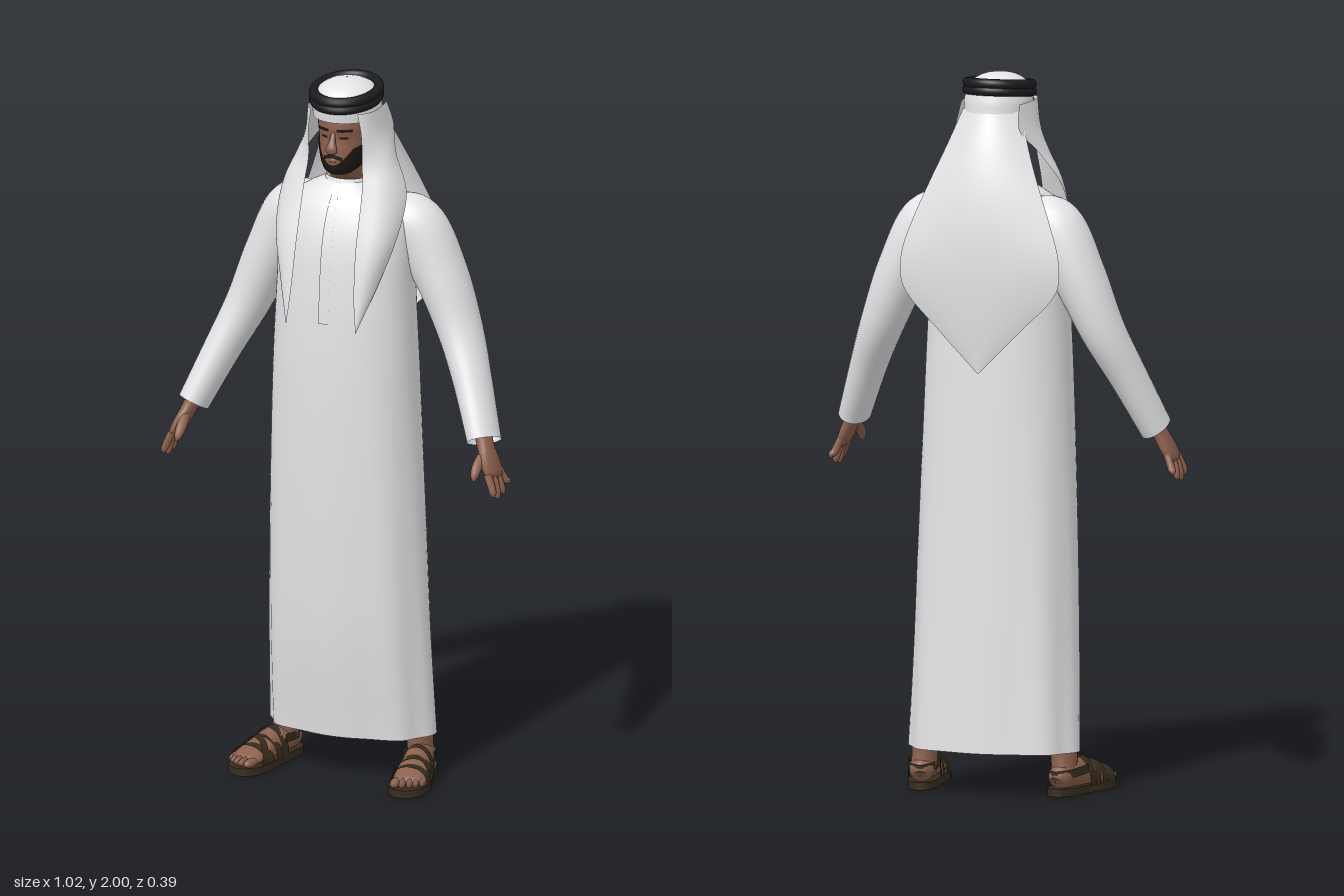
import * as THREE from 'three';

const mat = (name, color, side = THREE.FrontSide) => {
  const m = new THREE.MeshStandardMaterial({ color, side });
  m.name = name;
  return m;
};

// Smooth interpolation of a table; the first column is the parameter
const spline = rows => {
  const ip = new THREE.CubicInterpolant(rows.map(r => r[0]), rows.flatMap(r => r.slice(1)), rows[0].length - 1);
  return t => Array.from(ip.evaluate(t));
};
const indexed = rows => spline(rows.map((r, i) => [i, ...r]));

// Grid surface from f(u, v) -> [x, y, z]; wrap joins the ends of u
function grid(f, nu, nv, wrap = false) {
  const pos = [], idx = [], cols = wrap ? nu : nu + 1;
  for (let j = 0; j <= nv; j++)
    for (let i = 0; i < cols; i++) pos.push(...f(i / nu, j / nv));
  for (let j = 0; j < nv; j++)
    for (let i = 0; i < nu; i++) {
      const k = (i + 1) % cols, a = j * cols + i, b = j * cols + k;
      idx.push(a, b, a + cols, b, b + cols, a + cols);
    }
  const g = new THREE.BufferGeometry();
  g.setAttribute('position', new THREE.Float32BufferAttribute(pos, 3));
  g.setIndex(idx);
  g.computeVertexNormals();
  return g;
}

// Upright surface from rows [y, half width, front z, back z]
function upright(rows, power = 1, wave = () => 1) {
  const at = spline(rows);
  return (y, t, lift = 0) => {
    const [rx, zf, zb] = at(y), s = Math.sin(t), c = Math.cos(t), w = wave(y, t);
    const p = v => Math.sign(v) * Math.abs(v) ** power;
    return [(rx + lift) * p(s) * w, y, (zf + zb) / 2 + ((zf - zb) / 2 + lift) * p(c) * w];
  };
}
const shell = (f, y0, y1, nu = 48, nv = 40) =>
  grid((u, v) => f(y0 + (y1 - y0) * v, u * Math.PI * 2), nu, nv, true);

// Thin patch lying on an upright surface
const patch = (f, t0, t1, lo, hi, lift, nu = 16, nv = 4) => grid((u, v) => {
  const t = t0 + (t1 - t0) * u;
  return f(lo(t) + (hi(t) - lo(t)) * v, t, lift);
}, nu, nv);

// Swept limb from rows [x, y, z, side radius, radius along ref]
function sweep(rows, ref, nu = 20, nv = 20) {
  const at = indexed(rows), n = rows.length - 1, V = a => new THREE.Vector3(...a.slice(0, 3));
  return grid((u, v) => {
    const r = at(v * n), c = V(r);
    const d = V(at(Math.min(n, v * n + 0.05))).sub(V(at(Math.max(0, v * n - 0.05)))).normalize();
    const b = ref.clone().addScaledVector(d, -ref.dot(d)).normalize();
    const a = d.clone().cross(b), t = u * Math.PI * 2;
    return c.addScaledVector(a, r[3] * Math.cos(t)).addScaledVector(b, -r[4] * Math.sin(t)).toArray();
  }, nu, nv, true);
}

export function createModel() {
  const model = new THREE.Group();
  const cloth = mat('white cloth', 0xe6e6e8, THREE.DoubleSide);
  const skin = mat('skin', 0x8b5f4d);
  const hair = mat('dark hair', 0x1d1714, THREE.DoubleSide);
  const cord = mat('black cord', 0x1b1b1e);
  const leather = mat('brown leather', 0x372c1d, THREE.DoubleSide);
  const X = new THREE.Vector3(1, 0, 0), Y = new THREE.Vector3(0, 1, 0), Z = new THREE.Vector3(0, 0, 1);
  const add = (parent, name, geo, m) => {
    const mesh = new THREE.Mesh(geo, m);
    mesh.name = name;
    parent.add(mesh);
    return mesh;
  };

  // Long robe with soft folds towards the hem
  const robe = upright([
    [0.12, 0.248, 0.102, -0.172], [0.4, 0.238, 0.138, -0.166], [0.7, 0.228, 0.156, -0.158],
    [1.0, 0.215, 0.165, -0.15], [1.25, 0.203, 0.165, -0.142], [1.42, 0.195, 0.157, -0.136],
    [1.55, 0.192, 0.14, -0.13], [1.62, 0.18, 0.118, -0.124], [1.67, 0.145, 0.092, -0.112],
    [1.695, 0.09, 0.07, -0.088], [1.71, 0.064, 0.056, -0.07],
  ], 0.87, (y, t) => 1 - 0.025 * Math.max(0, 1.2 - y) * (1 - Math.cos(8 * t)));
  add(model, 'robe', shell(robe, 0.12, 1.71, 64, 60), cloth);
  add(model, 'placket', patch(robe, -0.05, 0.05, () => 1.33, () => 1.69, 0.004, 4, 24), cloth);

  const collar = upright([[1.69, 0.074, 0.066, -0.08], [1.705, 0.068, 0.06, -0.074], [1.72, 0.064, 0.055, -0.07]]);
  add(model, 'collar', shell(collar, 1.69, 1.72, 32, 3), cloth);

  // Head and neck
  const head = new THREE.Group();
  head.name = 'head';
  model.add(head);
  const face = upright([
    [1.66, 0.056, 0.04, -0.065], [1.715, 0.054, 0.042, -0.065], [1.735, 0.05, 0.07, -0.066],
    [1.75, 0.05, 0.097, -0.068], [1.775, 0.06, 0.104, -0.07], [1.81, 0.068, 0.102, -0.074],
    [1.845, 0.073, 0.098, -0.078], [1.875, 0.075, 0.102, -0.08], [1.91, 0.073, 0.094, -0.078],
    [1.95, 0.05, 0.06, -0.05], [1.96, 0.002, 0.006, -0.004],
  ]);
  add(head, 'face', shell(face, 1.66, 1.96, 40, 50), skin);
  add(head, 'nose', sweep([
    [0, 1.865, 0.096, 0.006, 0.005], [0, 1.84, 0.106, 0.01, 0.008],
    [0, 1.82, 0.112, 0.017, 0.012], [0, 1.81, 0.108, 0.014, 0.009], [0, 1.806, 0.104, 0.001, 0.001],
  ], Z, 14, 12), skin);
  add(head, 'lips', sweep([
    [-0.02, 1.784, 0.096, 0.001, 0.001], [0, 1.786, 0.103, 0.007, 0.006], [0.02, 1.784, 0.096, 0.001, 0.001],
  ], Z, 10, 10), skin);
  add(head, 'beard', patch(face, -1.6, 1.6, t => 1.738 + 0.012 * t * t,
    t => 1.772 + 0.04 * Math.min(1, t * t / 0.6) + 0.012 * t * t, 0.003, 32, 8), hair);
  add(head, 'moustache', patch(face, -0.42, 0.42, t => 1.794 - 0.06 * t * t, t => 1.803 - 0.05 * t * t, 0.004, 12, 2), hair);
  for (const s of [-1, 1]) {
    add(head, 'eyebrow', patch(face, s * 0.15, s * 0.72, () => 1.868, () => 1.876, 0.003, 8, 2), hair);
    add(head, 'eye', patch(face, s * 0.25, s * 0.56, () => 1.847, () => 1.853, 0.002, 6, 2), hair);
  }

  // Head cloth: cap, two front flaps and the cape behind
  const cap = upright([
    [1.895, 0.094, 0.108, -0.105], [1.93, 0.094, 0.11, -0.1], [1.965, 0.083, 0.097, -0.085],
    [1.985, 0.06, 0.073, -0.06], [1.996, 0.03, 0.04, -0.025], [2.0, 0.001, 0.008, 0.006],
  ]);
  add(model, 'headClothCap', shell(cap, 1.895, 2.0, 40, 24), cloth);

  // Each row runs from the front edge through a control point to the rear edge
  const flapRows = indexed([
    [0.07, 1.925, 0.092, 0.118, 1.925, 0.07, 0.085, 1.92, -0.07],
    [0.08, 1.86, 0.088, 0.135, 1.855, 0.04, 0.095, 1.85, -0.095],
    [0.081, 1.78, 0.085, 0.165, 1.78, 0.06, 0.13, 1.785, -0.035],
    [0.088, 1.7, 0.102, 0.175, 1.7, 0.1, 0.182, 1.69, 0.01],
    [0.09, 1.55, 0.148, 0.165, 1.56, 0.155, 0.182, 1.58, 0.07],
    [0.095, 1.42, 0.172, 0.13, 1.43, 0.177, 0.148, 1.45, 0.125],
    [0.105, 1.32, 0.183, 0.105, 1.32, 0.183, 0.105, 1.32, 0.183],
  ]);
  // Cape rows: y, half width, centre z, edge z
  const capeRows = spline([
    [-1.9, 0.085, -0.102, -0.05], [-1.8, 0.12, -0.145, -0.09], [-1.7, 0.16, -0.175, -0.122],
    [-1.6, 0.2, -0.192, -0.143], [-1.5, 0.23, -0.198, -0.156], [-1.41, 0.222, -0.196, -0.158],
    [-1.3, 0.12, -0.187, -0.168], [-1.18, 0.001, -0.172, -0.172],
  ]);
  add(model, 'headClothCape', grid((u, v) => {
    const y = 1.9 - 0.72 * v, [w, zc, ze] = capeRows(-y), k = 2 * u - 1;
    return [w * k, y, zc + (ze - zc) * k * k];
  }, 24, 36), cloth);

  // Double head cord, tilted down at the front
  for (const y of [1.947, 1.967]) {
    const pts = [];
    for (let i = 0; i < 24; i++) {
      const t = i / 24 * Math.PI * 2, z = 0.01 + 0.1 * Math.cos(t);
      pts.push(new THREE.Vector3(0.087 * Math.sin(t), y - 0.11 * z, z));
    }
    add(model, 'headCord', new THREE.TubeGeometry(new THREE.CatmullRomCurve3(pts, true), 64, 0.0145, 10, true), cord);
  }

  // Sole outline
  const soleShape = new THREE.Shape();
  soleShape.moveTo(0, -0.15);
  soleShape.bezierCurveTo(0.045, -0.15, 0.04, -0.08, 0.042, -0.03);
  soleShape.bezierCurveTo(0.055, 0.03, 0.075, 0.14, 0.0, 0.152);
  soleShape.bezierCurveTo(-0.07, 0.15, -0.058, 0.05, -0.045, 0.0);
  soleShape.bezierCurveTo(-0.038, -0.08, -0.045, -0.15, 0, -0.15);

  for (const s of [1, -1]) {
    const flip = p => { p[0] *= s; return p; };
    // Mirrors swept rows across the body
    const limb = (rows, ref, nu, nv) => sweep(rows.map(r => flip([...r])), ref, nu, nv);

    add(model, 'headClothFlap', grid((u, v) => {
      const r = flapRows(v * 6), a = (1 - u) ** 2, b = 2 * u * (1 - u), c = u * u;
      return flip([0, 1, 2].map(k => a * r[k] + b * r[k + 3] + c * r[k + 6]));
    }, 14, 40), cloth);

    add(model, 'sleeve', limb([
      [0.1, 1.61, -0.035, 0.05, 0.07], [0.18, 1.58, -0.05, 0.083, 0.083], [0.255, 1.45, -0.055, 0.074, 0.083],
      [0.32, 1.3, -0.042, 0.061, 0.075], [0.378, 1.17, 0.002, 0.051, 0.066], [0.44, 1.02, 0.06, 0.043, 0.062],
    ], Z, 28, 40), cloth);

    // Hand
    const hand = new THREE.Group();
    hand.name = 'hand';
    model.add(hand);
    add(hand, 'palm', limb([
      [0.425, 1.06, 0.05, 0.024, 0.03], [0.447, 1.01, 0.066, 0.021, 0.032], [0.468, 0.965, 0.08, 0.019, 0.046],
      [0.482, 0.935, 0.085, 0.015, 0.044], [0.487, 0.922, 0.087, 0.002, 0.03],
    ], Z, 16, 14), skin);
    [[0.048, 0.03, 0.893], [0.073, 0.067, 0.875], [0.098, 0.1, 0.87], [0.122, 0.13, 0.882]].forEach(([z0, z1, y]) =>
      add(hand, 'finger', limb([
        [0.478, 0.945, z0, 0.011, 0.012], [0.492, 0.912, (z0 + z1) / 2, 0.011, 0.0115],
        [0.499, y + 0.01, z1, 0.009, 0.009], [0.5, y, z1, 0.001, 0.001],
      ], Z, 10, 10), skin));
    add(hand, 'thumb', limb([
      [0.452, 0.995, 0.085, 0.014, 0.014], [0.448, 0.968, 0.122, 0.014, 0.015],
      [0.449, 0.942, 0.146, 0.011, 0.011], [0.45, 0.928, 0.154, 0.001, 0.001],
    ], X, 10, 10), skin);

    // Ankle and foot with its sandal
    add(model, 'ankle', limb([
      [0.205, 0.045, -0.04, 0.035, 0.045], [0.203, 0.11, -0.032, 0.036, 0.044], [0.195, 0.3, -0.03, 0.042, 0.046],
    ], Z, 18, 8), skin);
    const foot = new THREE.Group();
    foot.name = 'foot';
    foot.position.set(0.225 * s, 0, 0.046);
    foot.rotation.y = 0.2 * s;
    model.add(foot);
    const sole = new THREE.ExtrudeGeometry(soleShape, { depth: 0.022, bevelEnabled: false, curveSegments: 10 });
    sole.scale(s, 1, 1);
    if (s < 0) { // restore outward faces after mirroring
      const p = sole.attributes.position, a = p.array;
      for (let i = 0; i < a.length; i += 9)
        for (let k = 0; k < 3; k++) [a[i + 3 + k], a[i + 6 + k]] = [a[i + 6 + k], a[i + 3 + k]];
    }
    sole.rotateX(Math.PI / 2).translate(0, 0.022, 0);
    sole.computeVertexNormals();
    add(foot, 'sole', sole, leather);
    add(foot, 'footTop', limb([
      [0, 0.04, -0.14, 0.002, 0.002], [0, 0.048, -0.125, 0.03, 0.03], [0, 0.058, -0.07, 0.037, 0.042],
      [0, 0.053, -0.01, 0.039, 0.04], [0.003, 0.042, 0.05, 0.046, 0.028], [0.003, 0.034, 0.1, 0.045, 0.017],
      [0.003, 0.03, 0.115, 0.03, 0.008],
    ], Y, 20, 24), skin);
    [-0.03, -0.009, 0.01, 0.027, 0.042].forEach((x, i) => {
      const toe = add(foot, 'toe', new THREE.SphereGeometry(1, 10, 8), skin);
      toe.scale.set(i ? 0.0095 : 0.014, 0.013, 0.03);
      toe.position.set(x * s, 0.033, 0.118 - i * i * 0.0018);
    });
    // Straps arch over the foot: start z, end z, height, half width, band width
    const strap = (z0, z1, h, w, band) => add(foot, 'strap', grid((u, v) => {
      const t = Math.PI * u;
      return [-w * Math.cos(t) * s + 0.002 * s, 0.018 + h * Math.sin(t) ** 0.8, z0 + (z1 - z0) * u + band * (v - 0.5)];
    }, 18, 3), leather);
    strap(0.055, 0.075, 0.052, 0.054, 0.04);
    strap(0.075, 0.005, 0.066, 0.05, 0.026);
    strap(0.0, 0.05, 0.068, 0.05, 0.026);
    strap(-0.03, -0.01, 0.082, 0.046, 0.03);
    // Heel strap
    add(foot, 'heelStrap', grid((u, v) => {
      const t = Math.PI * u;
      return [0.044 * Math.cos(t), 0.045 + 0.025 * v + 0.012 * (1 - Math.sin(t)), -0.03 - 0.115 * Math.sin(t) ** 0.9];
    }, 18, 2), leather);
  }
  return model;
}
